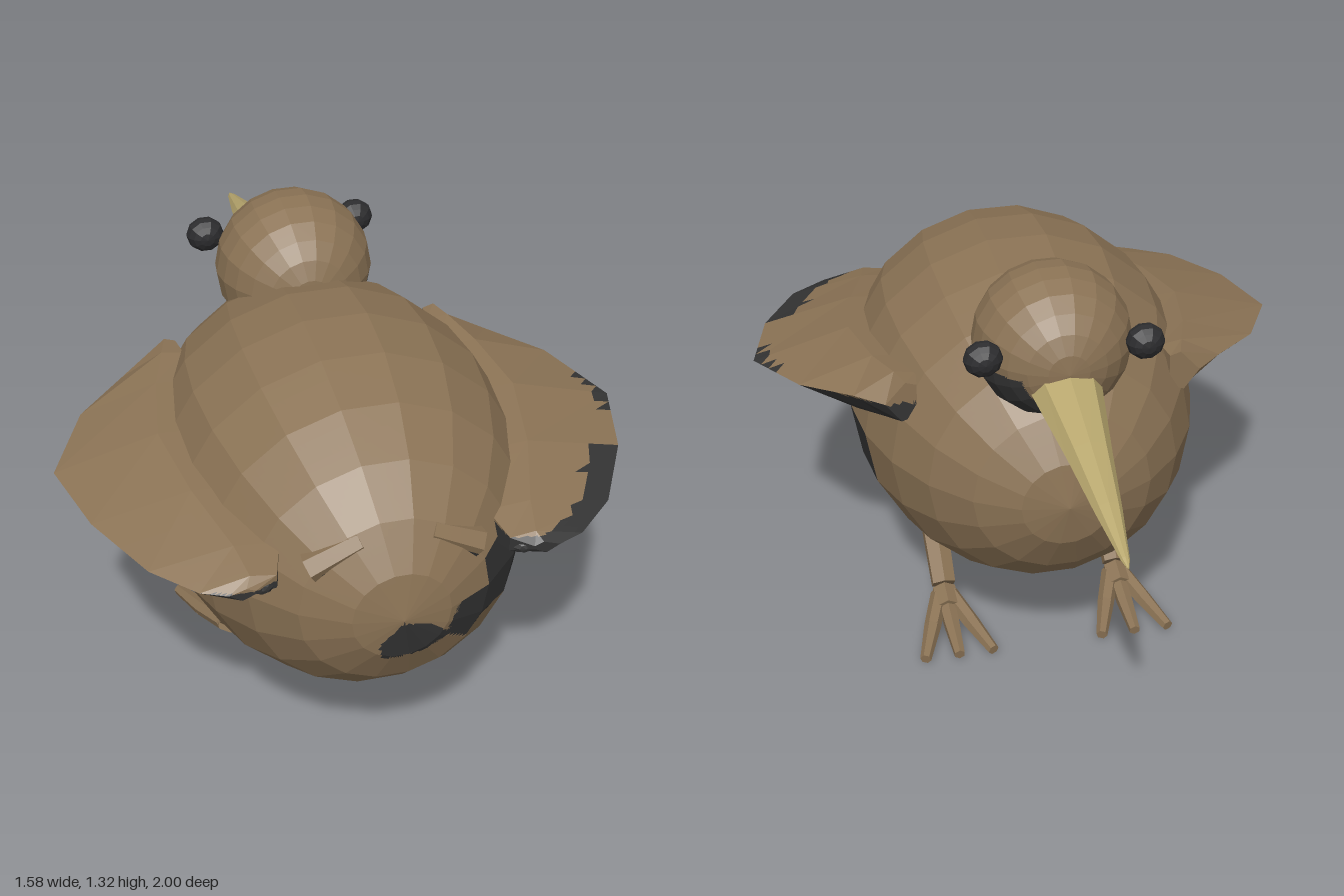
import * as THREE from 'three';

const flat = (name, color) => {
  const m = new THREE.MeshStandardMaterial({ color, flatShading: true });
  m.name = name;
  return m;
};

// Closed skin over rings of points; rings run toward +z, counterclockwise seen from +z
function loft(rings) {
  const out = [], n = rings[0].length, last = rings.length - 1;
  const tri = (a, b, c) => out.push(...a, ...b, ...c);
  for (let i = 0; i < last; i++) {
    for (let j = 0; j < n; j++) {
      const k = (j + 1) % n, A = rings[i], B = rings[i + 1];
      tri(A[j], A[k], B[k]);
      tri(A[j], B[k], B[j]);
    }
  }
  for (let j = 1; j < n - 1; j++) {
    tri(rings[0][0], rings[0][j + 1], rings[0][j]);
    tri(rings[last][0], rings[last][j], rings[last][j + 1]);
  }
  const g = new THREE.BufferGeometry();
  g.setAttribute('position', new THREE.Float32BufferAttribute(out, 3));
  g.computeVertexNormals();
  return g;
}

// Splits every face into n*n coplanar pieces and puts those passing the test in a second group
function paint(geo, n, test) {
  const src = geo.index ? geo.toNonIndexed() : geo;
  const p = src.attributes.position, sets = [[], []];
  const [a, b, c] = [0, 1, 2].map(() => new THREE.Vector3());
  for (let t = 0; t < p.count; t += 3) {
    a.fromBufferAttribute(p, t);
    b.fromBufferAttribute(p, t + 1).sub(a);
    c.fromBufferAttribute(p, t + 2).sub(a);
    if (b.clone().cross(c).length() < 1e-9) continue;
    const at = (i, j) => a.clone().addScaledVector(b, i / n).addScaledVector(c, j / n);
    const add = (...v) => {
      const m = v[0].clone().add(v[1]).add(v[2]).divideScalar(3);
      const set = sets[test(m.x, m.y, m.z) ? 1 : 0];
      v.forEach(q => set.push(q.x, q.y, q.z));
    };
    for (let i = 0; i < n; i++) {
      for (let j = 0; j < n - i; j++) {
        add(at(i, j), at(i + 1, j), at(i, j + 1));
        if (i + j < n - 1) add(at(i + 1, j), at(i + 1, j + 1), at(i, j + 1));
      }
    }
  }
  const g = new THREE.BufferGeometry(), count = sets.map(s => s.length / 3);
  g.setAttribute('position', new THREE.Float32BufferAttribute(sets[0].concat(sets[1]), 3));
  g.addGroup(0, count[0], 0);
  g.addGroup(count[0], count[1], 1);
  g.computeVertexNormals();
  return g;
}

// Ellipsoid with its poles on the z axis
const ball = (rx, ry, rz, x, y, z, w = 18, h = 12) =>
  new THREE.SphereGeometry(1, w, h).rotateX(Math.PI / 2).scale(rx, ry, rz).translate(x, y, z);

// Tapered six-sided limb between two points
function limb(from, to, r0, r1) {
  const a = new THREE.Vector3(...from), d = new THREE.Vector3(...to).sub(a);
  const g = new THREE.CylinderGeometry(r1, r0, d.length(), 6);
  g.applyQuaternion(new THREE.Quaternion().setFromUnitVectors(new THREE.Vector3(0, 1, 0), d.clone().normalize()));
  return g.translate(a.x + d.x / 2, a.y + d.y / 2, a.z + d.z / 2);
}

function inside(poly, x, y) {
  let hit = false;
  poly.forEach(([x1, y1], i) => {
    const [x2, y2] = poly[(i + 1) % poly.length];
    if ((y1 > y) !== (y2 > y) && x < x1 + (x2 - x1) * (y - y1) / (y2 - y1)) hit = !hit;
  });
  return hit;
}

export function createModel() {
  const bird = new THREE.Group();
  bird.name = 'bird';
  const brown = flat('brown plumage', 0x8b7355);
  const dark = flat('dark plumage', 0x333333);
  const black = flat('eye black', 0x2c2c2e);
  const horn = flat('beak horn', 0xb8a76e);
  const add = (name, geo, mat, parent = bird) => {
    const m = new THREE.Mesh(geo, mat);
    m.name = name;
    parent.add(m);
    return m;
  };
  const feathers = [brown, dark];

  // Body with a dark flank band and a ragged patch near the rear pole
  const blotch = [[-.05, .55], [-.06, .61], [0, .68], [.07, .66], [.13, .61], [.16, .69],
    [.3, .69], [.3, .58], [.24, .585], [.2, .53], [.13, .59], [.07, .56]];
  add('body', paint(ball(.515, .51, .695, 0, .69, .305), 8, (x, y, z) => {
    const deg = THREE.MathUtils.radToDeg(Math.atan2((y - .69) / .51, x / .515));
    if (deg > -20 && deg < 0 && z > .125 && z < .907) return true;
    if (deg > 0 && deg < 20 && z > .65 && z < .907) return true;
    return z > .8 && inside(blotch, x, y);
  }), feathers);

  // Head with a dark throat on one side
  add('head', paint(ball(.225, .22, .22, 0, 1.11, -.155), 8,
    (x, y, z) => x > -.04 && y < 1.085 && z > -.335 && z < -.04), feathers);

  // Beak
  const beak = [[-1, .915, .003, .003], [-.97, .921, .012, .009], [-.8, .955, .037, .028],
    [-.6, .995, .062, .046], [-.33, 1.045, .1, .072]];
  add('beak', loft(beak.map(([z, y, rx, ry]) => Array.from({ length: 8 }, (_, i) => {
    const t = i / 8 * Math.PI * 2;
    return [rx * Math.cos(t), y + ry * Math.sin(t), z];
  }))), horn);

  // Wing sections: z, inner x, outer x, top y, edge y, bottom y
  const wing = [
    [-.07, .37, .46, .965, .90, .84], [0, .36, .54, .965, .90, .82],
    [.13, .35, .68, .95, .88, .78], [.35, .35, .79, .93, .85, .76],
    [.59, .32, .73, .90, .84, .75], [.8, .28, .62, .86, .82, .755],
    [.9, .31, .51, .835, .805, .77], [.925, .37, .44, .815, .80, .78]];

  for (const s of [1, -1]) {
    const side = s > 0 ? 'left' : 'right';

    // Wing
    const rings = wing.map(([z, xi, xo, top, edge, bot]) => {
      const w = xo - xi;
      const ring = [[xi, bot + .015], [xi + w * .5, bot], [xo, edge], [xi + w * .35, top], [xi, top - .01]]
        .map(([x, y]) => [s * x, y, z]);
      return s > 0 ? ring : ring.reverse();
    });
    add(side + 'Wing', paint(loft(rings), 6, (x, y, z) => {
      const edge = .893 - .097 * z;
      if (s > 0) return y < edge + (z > .6 ? .02 : 0);
      return z > .72 && y < edge && x > -.54;
    }), feathers);
    add(side + 'WingTip', ball(.035, .024, .03, s * .35, .795, .89, 8, 6), dark);

    // Tail tuft
    add(side + 'TailTuft', paint(limb([s * .09, .89, .895], [s * .225, .82, .885], .035, .045), 6,
      (x, y, z) => y < .93 - .5 * Math.abs(x) - .015 && z > .88 && (s > 0 ? x > .13 : x > -.2)), feathers);

    // Eye
    add(side + 'Eye', ball(.055, .052, .044, s * .225, 1.155, -.31, 10, 8), black);

    // Leg, ankle and three toes
    const leg = new THREE.Group();
    leg.name = side + 'Leg';
    bird.add(leg);
    add('thigh', limb([s * .275, .36, .27], [s * .275, .255, .335], .05, .048), brown, leg);
    add('shin', limb([s * .275, .275, .345], [s * .275, .1, .14], .045, .04), brown, leg);
    add('ankle', limb([s * .275, .075, .14], [s * .275, .055, .07], .04, .04), brown, leg);
    for (const t of [-1, 0, 1]) {
      const knuckle = [s * .275 + t * .06, .04, .01];
      add('toe', limb([s * .275 + t * .015, .07, .13], knuckle, .028, .026), brown, leg);
      add('toeTip', limb(knuckle, [s * .275 + t * .105, .019, -.12], .026, .017), brown, leg);
    }
  }
  return bird;
}
